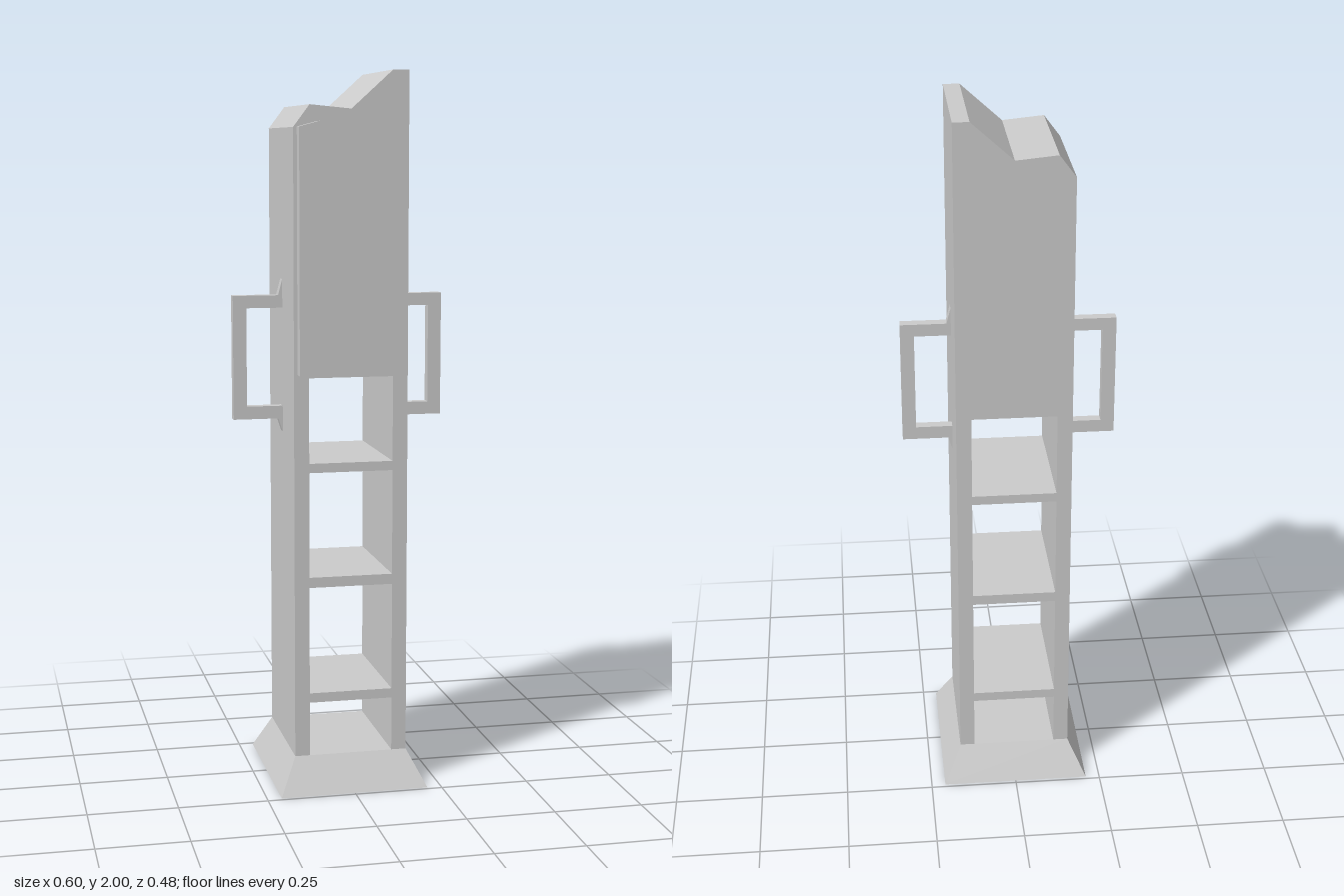
import * as THREE from 'three';

const material = new THREE.MeshStandardMaterial({ color: 0xcccccc, flatShading: true, side: THREE.DoubleSide });
const W = 0.16, D = 0.183, IN = 0.118, BASE = 0.1;

const points = (list) => list.map(([x, y]) => new THREE.Vector2(x, y));

// Extrudes an outline in the front plane from z0 to z1
function slab(outline, z0, z1, holes = []) {
  const shape = new THREE.Shape(points(outline));
  holes.forEach((h) => shape.holes.push(new THREE.Path(points(h))));
  return new THREE.ExtrudeGeometry(shape, { depth: z1 - z0, bevelEnabled: false }).translate(0, 0, z0);
}

// Drops the triangles lying wholly at height y, leaving the shell open there
function openAt(geometry, y) {
  const source = geometry.toNonIndexed().getAttribute('position');
  const kept = [];
  for (let i = 0; i < source.count; i += 3) {
    const flat = [0, 1, 2].every((k) => Math.abs(source.getY(i + k) - y) < 1e-4);
    if (flat) continue;
    for (let k = 0; k < 3; k++) kept.push(source.getX(i + k), source.getY(i + k), source.getZ(i + k));
  }
  const result = new THREE.BufferGeometry();
  result.setAttribute('position', new THREE.Float32BufferAttribute(kept, 3));
  result.computeVertexNormals();
  return result;
}

export function createModel() {
  const group = new THREE.Group();
  const add = (name, geometry) => {
    const mesh = new THREE.Mesh(geometry, material);
    mesh.name = name;
    group.add(mesh);
    return mesh;
  };

  // Tower: two hollow legs, solid head with a broken top, through openings between shelves
  const openings = [[0.28, 0.583], [0.612, 0.907], [0.933, 1.17]].map(([a, b]) => [
    [-IN, a], [-IN, b], [IN, b], [IN, a],
  ]);
  const tower = slab([
    [-W, BASE], [-IN, BASE], [-IN, 0.253], [IN, 0.253], [IN, BASE], [W, BASE],
    [W, 2], [0.115, 2], [0, 1.896], [-0.115, 1.907], [-W, 1.847],
  ], -D, D, openings);
  add('tower', openAt(tower, BASE));

  // Floor of the lowest compartment
  add('floor', new THREE.PlaneGeometry(2 * IN, 2 * D).rotateX(-Math.PI / 2).translate(0, BASE, 0));

  // Flared skirt, open above and below
  const skirt = new THREE.CylinderGeometry(Math.SQRT1_2, Math.SQRT1_2, BASE, 4, 1, true)
    .rotateY(Math.PI / 4).translate(0, BASE / 2, 0);
  const p = skirt.getAttribute('position');
  for (let i = 0; i < p.count; i++) {
    const top = p.getY(i) > BASE / 2;
    p.setX(i, Math.sign(p.getX(i)) * (top ? W : 0.21));
    p.setZ(i, Math.sign(p.getZ(i)) * (top ? D : 0.24));
  }
  skirt.computeVertexNormals();
  add('skirt', skirt);

  // Jagged plate on the front
  add('frontPlate', slab([
    [-0.15, 1.18], [-0.085, 1.18], [0.052, 1.305], [0.11, 1.308], [0.15, 1.322], [0.15, 1.628],
    [0.115, 1.66], [0.067, 1.857], [-0.095, 1.863], [-0.15, 1.848],
  ], D, 0.216));

  // Side handles with flared roots
  const handle = [
    [W, 1.0], [0.172, 1.037], [0.3, 1.037], [0.3, 1.385], [0.172, 1.385], [W, 1.43],
    [W, 1.35], [0.262, 1.35], [0.262, 1.073], [W, 1.073],
  ];
  for (const [name, side] of [['leftHandle', 1], ['rightHandle', -1]]) {
    add(name, slab(handle.map(([x, y]) => [side * x, y]), -0.015, 0.015));
  }
  return group;
}
